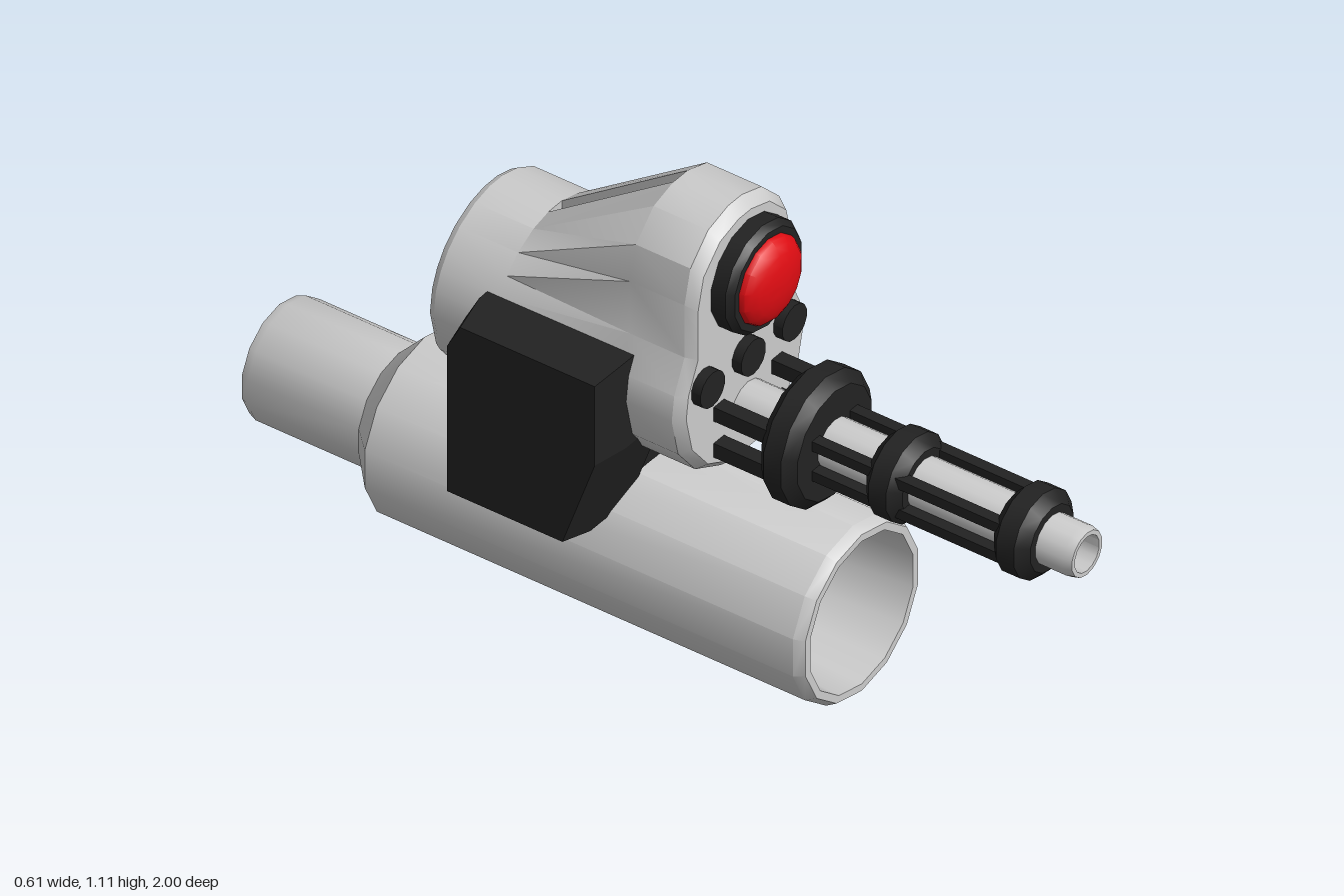
import * as THREE from 'three';
import { toCreasedNormals } from 'three/addons/utils/BufferGeometryUtils.js';

const grey = new THREE.MeshStandardMaterial({ color: 0xcccccc });
const dark = new THREE.MeshStandardMaterial({ color: 0x222222 });
const red = new THREE.MeshStandardMaterial({ color: 0xdd0c12 });

export function createModel() {
  const model = new THREE.Group();

  function add(name, geometry, material, x = 0, y = 0, z = 0) {
    const mesh = new THREE.Mesh(geometry, material);
    mesh.name = name;
    mesh.position.set(x, y, z);
    model.add(mesh);
    return mesh;
  }

  // Turned part along z; profile is [radius, z] running back to front on the outside
  function turned(profile, sides = 14) {
    const points = profile.map(([r, z]) => new THREE.Vector2(r, z));
    const geometry = new THREE.LatheGeometry(points, sides).rotateX(Math.PI / 2);
    return toCreasedNormals(geometry, 0.6);
  }

  // Skin over matching closed rings of [x, y, z], counterclockwise from the first ring's side
  function loft(rings, crease) {
    const n = rings[0].length;
    const index = [];
    for (let i = 0; i < rings.length - 1; i++) {
      for (let j = 0; j < n; j++) {
        const a = i * n + j, b = i * n + (j + 1) % n;
        index.push(a, a + n, b, b, a + n, b + n);
      }
    }
    const geometry = new THREE.BufferGeometry();
    geometry.setAttribute('position', new THREE.Float32BufferAttribute(rings.flat(2), 3));
    geometry.setIndex(index);
    return toCreasedNormals(geometry, crease);
  }

  // Lower hollow tube with a tapering bore and a narrow rear end
  add('lowerTube', turned([
    [0.112, -1], [0.13, -1], [0.138, -0.98], [0.138, -0.705], [0.208, -0.64],
    [0.208, 0.42], [0.195, 0.442], [0.178, 0.442], [0.112, -0.68], [0.112, -1],
  ]), grey, 0, 0.21);

  // Housing: a two-lobed front outline that slopes back into a plain cylinder
  const R = 0.213, CY = 0.685;
  const onCircle = (deg) => {
    const a = THREE.MathUtils.degToRad(deg);
    return [R * Math.sin(a), CY + R * Math.cos(a)];
  };
  // Right half from bottom to top: [angle on rear circle, front outline point]
  const half = [167, 141, 116, 90, 74].map((a) => [a, onCircle(a)]);
  half.push([62, [0.17, 0.82]], [50, [0.17, 0.95]], [36, [0.15, 1.03]], [20, [0.09, 1.09]]);
  const grooveHalf = 0.023;

  function housingRing(z, t, depth, scale) {
    const right = half.map(([a, [fx, fy]]) => {
      const [bx, by] = onCircle(a);
      return [THREE.MathUtils.lerp(fx, bx, t), THREE.MathUtils.lerp(fy, by, t)];
    });
    const top = THREE.MathUtils.lerp(1.11, 0.897, t);
    right.push([grooveHalf, top], [grooveHalf, top - depth]);
    const left = right.map(([x, y]) => [-x, y]).reverse();
    const midY = THREE.MathUtils.lerp(0.78, CY, t);
    return [...right, ...left].map(([x, y]) => [x * scale, midY + (y - midY) * scale, z]);
  }
  add('housing', loft([
    housingRing(0.16, 0, 0, 0),
    housingRing(0.16, 0, 0, 0.93),
    housingRing(0.135, 0, 0, 1),
    housingRing(0, 0, 0, 1),
    housingRing(0, 0, 0.03, 1),
    housingRing(-0.31, 1, 0.03, 1),
    housingRing(-0.31, 1, 0, 1),
    housingRing(-0.455, 1, 0, 1),
    housingRing(-0.47, 1, 0, 0.96),
    housingRing(-0.47, 1, 0, 0),
  ], 0.5), grey, -0.01);

  // Side clamps with chamfered outer faces, and the bridge between them
  const clampProfile = [[0.022, 0.785], [0.022, 0.57], [-0.065, 0.325],
    [-0.375, 0.325], [-0.375, 0.72], [-0.34, 0.785]];
  for (const side of [1, -1]) {
    const profile = side > 0 ? clampProfile : [...clampProfile].reverse();
    const ring = (x, s) => profile.map(([z, y]) =>
      [side * x, 0.555 + (y - 0.555) * s, -0.18 + (z + 0.18) * s]);
    add(side > 0 ? 'leftClamp' : 'rightClamp', loft([
      ring(0.307, 0), ring(0.307, 0.92), ring(0.225, 1), ring(0.095, 1), ring(0.095, 0),
    ], 0.1), dark);
  }
  add('clampBridge', new THREE.BoxGeometry(0.2, 0.12, 0.33), dark, 0, 0.475, -0.2);

  // Red lens in a dark bezel
  add('lensBezel', turned([
    [0, 0.14], [0.127, 0.14], [0.127, 0.195], [0.115, 0.21], [0.1, 0.21], [0, 0.2],
  ]), dark, 0, 0.94);
  const dome = [[0.1, 0.19]];
  for (let i = 0; i <= 6; i++) {
    const a = i / 6 * Math.PI / 2;
    dome.push([0.1 * Math.cos(a), 0.21 + 0.043 * Math.sin(a)]);
  }
  add('lens', turned(dome), red, 0, 0.94);

  // Row of small round buttons
  for (const [x, y] of [[-0.15, 0.743], [-0.012, 0.74], [0.127, 0.743]]) {
    add('button', turned([[0, 0.14], [0.042, 0.14], [0.042, 0.183], [0, 0.183]]), dark, x, y);
  }

  // Barrel with an open muzzle
  const axisY = 0.605;
  add('barrel', turned([
    [0, 0.1], [0.057, 0.1], [0.057, 0.98], [0.052, 1], [0.042, 1], [0.042, 0.9], [0, 0.9],
  ]), grey, 0, axisY);
  add('boreBottom', turned([[0.041, 0.9], [0.041, 0.91], [0, 0.91]]), dark, 0, axisY);

  // Bevelled collars along the barrel
  for (const [z, r] of [[0.33, 0.153], [0.552, 0.1], [0.868, 0.1]]) {
    add('collar', turned([
      [0, z - 0.045], [r - 0.025, z - 0.045], [r, z - 0.022],
      [r, z + 0.022], [r - 0.025, z + 0.045], [0, z + 0.045],
    ]), dark, 0, axisY);
  }

  // Thin rods between the collars and thicker struts to the housing
  for (const sx of [-1, 1]) {
    for (const sy of [-1, 1]) {
      add('rod', new THREE.BoxGeometry(0.026, 0.024, 0.56), dark,
        sx * 0.064, axisY + sy * 0.037, 0.6);
      add('strut', new THREE.BoxGeometry(0.035, 0.035, 0.19), dark,
        sx * 0.098, axisY + sy * 0.045, 0.225);
    }
  }

  return model;
}
